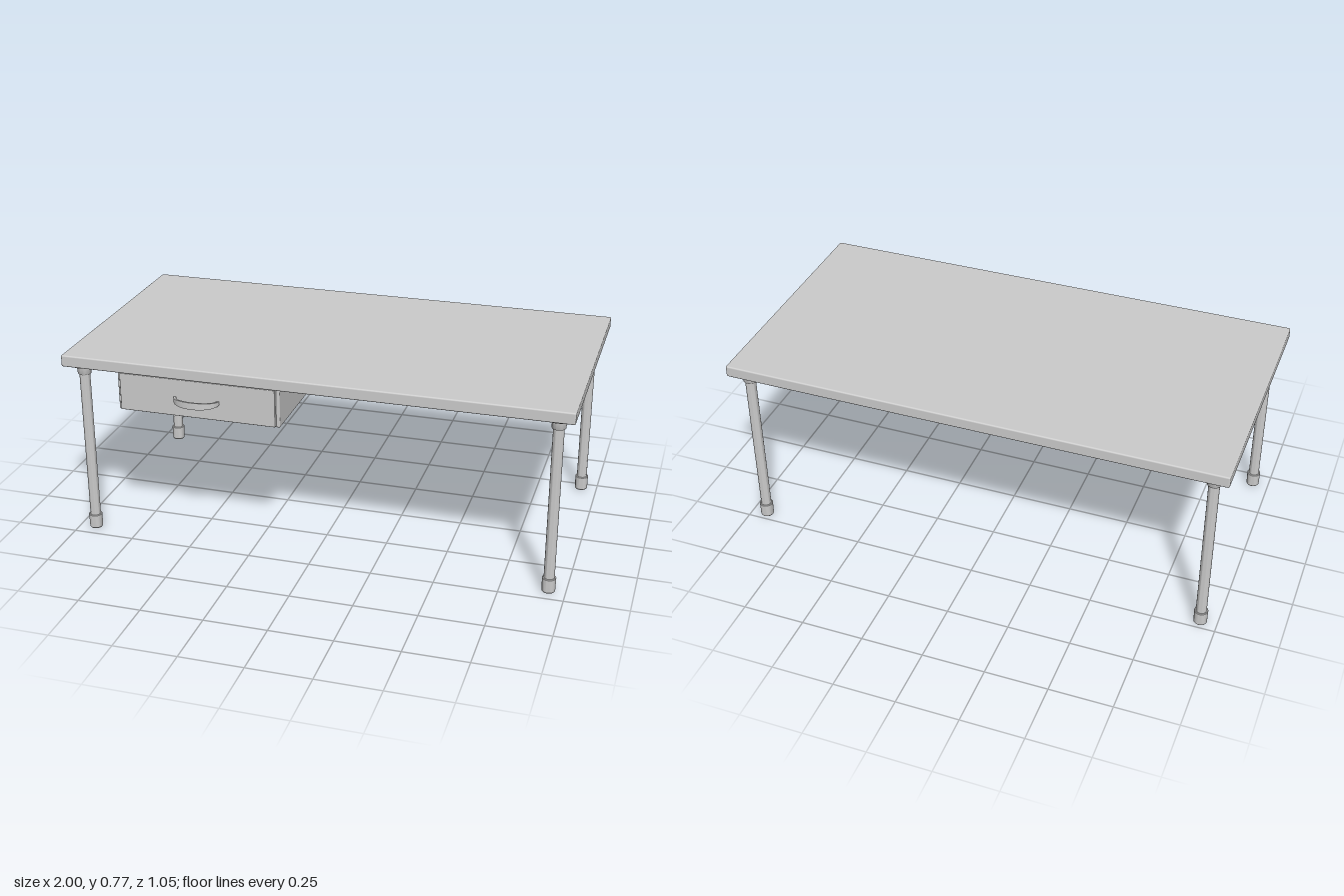
import * as THREE from 'three';
import { RoundedBoxGeometry } from 'three/addons/geometries/RoundedBoxGeometry.js';
import { toCreasedNormals } from 'three/addons/utils/BufferGeometryUtils.js';

export function createModel() {
  const model = new THREE.Group();
  model.name = 'desk';
  const grey = new THREE.MeshStandardMaterial({ color: 0xcccccc });

  function add(parent, name, geometry, x = 0, y = 0, z = 0) {
    const mesh = new THREE.Mesh(geometry, grey);
    mesh.name = name;
    mesh.position.set(x, y, z);
    parent.add(mesh);
    return mesh;
  }

  // Box with softened edges, given by its limits
  function block(parent, name, [x0, x1], [y0, y1], [z0, z1], r) {
    const geometry = new RoundedBoxGeometry(x1 - x0, y1 - y0, z1 - z0, 2, r);
    return add(parent, name, geometry, (x0 + x1) / 2, (y0 + y1) / 2, (z0 + z1) / 2);
  }

  // Turned part from a [radius, height] profile
  function turned(profile) {
    const points = profile.map(([r, y]) => new THREE.Vector2(r, y));
    return toCreasedNormals(new THREE.LatheGeometry(points, 32), 0.6);
  }

  // Table top
  block(model, 'tableTop', [-1, 1], [0.724, 0.771], [-0.526, 0.502], 0.006);

  // Four round legs with a foot cap, a collar and a mounting plate
  const foot = turned([[0, 0], [0.023, 0], [0.026, 0.004], [0.027, 0.058], [0.025, 0.06], [0.02, 0.06]]);
  const tube = turned([[0.021, 0.055], [0.021, 0.7]]);
  const collar = turned([[0.02, 0.68], [0.026, 0.68], [0.027, 0.682], [0.027, 0.719]]);
  const plate = turned([[0.02, 0.718], [0.05, 0.718], [0.052, 0.72], [0.052, 0.725]]);
  for (const x of [-0.934, 0.934]) {
    for (const z of [-0.463, 0.438]) {
      const leg = new THREE.Group();
      leg.name = (z > 0 ? 'front' : 'back') + (x > 0 ? 'Left' : 'Right') + 'Leg';
      leg.position.set(x, 0, z);
      add(leg, 'footCap', foot);
      add(leg, 'legTube', tube);
      add(leg, 'collar', collar);
      add(leg, 'mountingPlate', plate);
      model.add(leg);
    }
  }

  // Drawer case and its front panel
  const drawer = new THREE.Group();
  drawer.name = 'drawer';
  model.add(drawer);
  block(drawer, 'drawerCase', [-0.786, -0.123], [0.552, 0.726], [-0.121, 0.455], 0.005);
  block(drawer, 'drawerFront', [-0.772, -0.137], [0.558, 0.711], [0.43, 0.47], 0.003);

  // Bowed handle: a thin curved band that grows taller toward its middle
  const bow = new THREE.Shape();
  bow.moveTo(-0.093, 0.466);
  bow.bezierCurveTo(-0.093, 0.549, 0.093, 0.549, 0.093, 0.466);
  bow.lineTo(0.084, 0.466);
  bow.bezierCurveTo(0.084, 0.537, -0.084, 0.537, -0.084, 0.466);
  const handle = new THREE.ExtrudeGeometry(bow, { depth: 1, bevelEnabled: false, curveSegments: 24 });
  const p = handle.attributes.position;
  for (let i = 0; i < p.count; i++) {
    const z = p.getY(i);
    const height = 0.013 + 0.015 * (z - 0.466) / 0.062;
    p.setXYZ(i, p.getX(i), (0.5 - p.getZ(i)) * height, z);
  }
  add(drawer, 'drawerHandle', toCreasedNormals(handle, 0.6), -0.454, 0.632, 0);

  return model;
}
